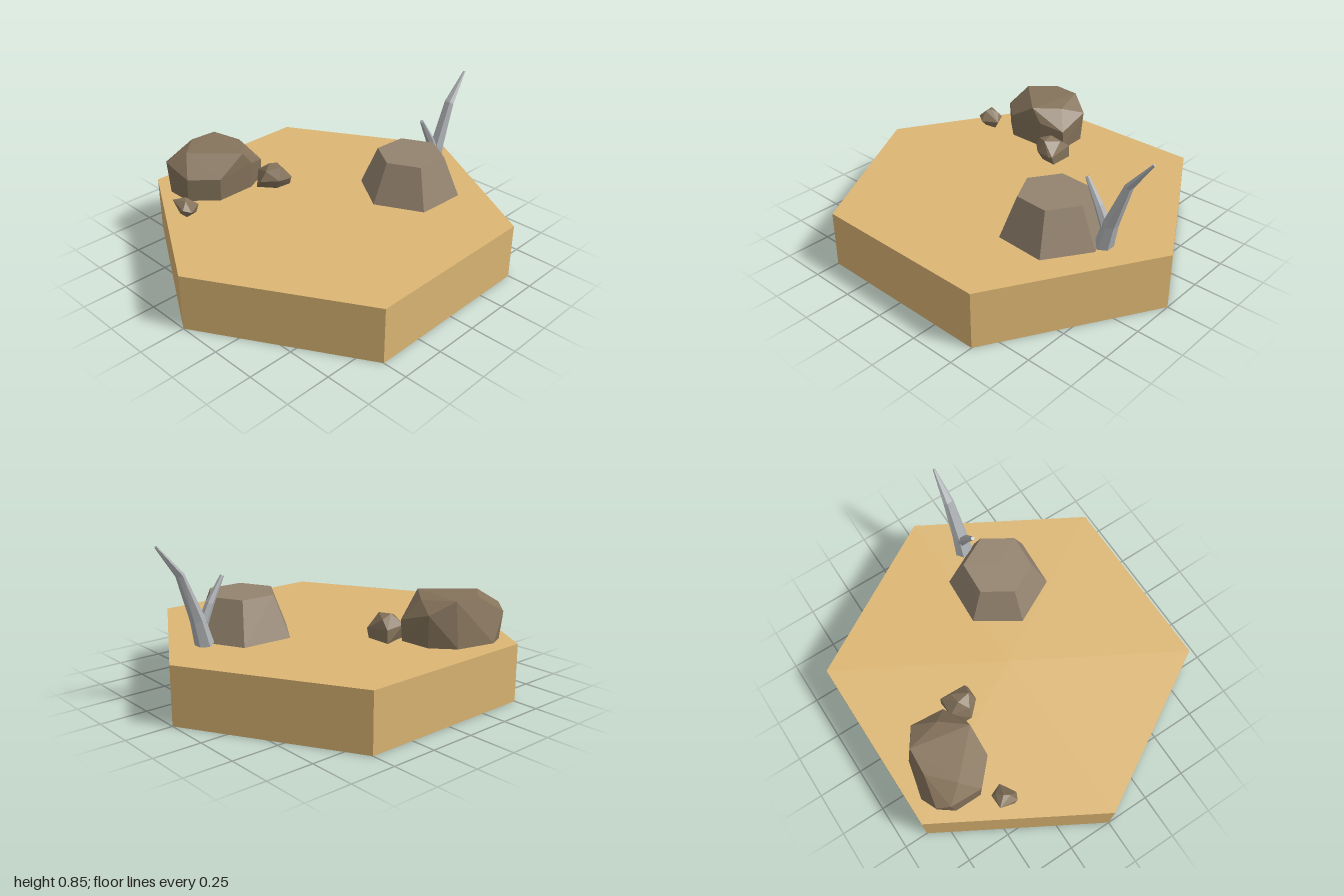
import * as THREE from 'three';
import { ConvexGeometry } from 'three/addons/geometries/ConvexGeometry.js';

const mat = (color) => new THREE.MeshStandardMaterial({ color, flatShading: true });
const sand = mat(0xdcb673);
const stone = mat(0x94836f);
const darkStone = mat(0x85735b);
const wood = mat(0xb0b3b6);

const GROUND = 0.31;

function add(group, name, geometry, material) {
  const mesh = new THREE.Mesh(geometry, material);
  mesh.name = name;
  group.add(mesh);
  return mesh;
}

// Six-sided block with a vertex pointing along +x
function hexBlock(rTop, rBottom, height, turn = 0) {
  return new THREE.CylinderGeometry(rTop, rBottom, height, 6, 1, false, Math.PI / 2 - turn)
    .translate(0, height / 2, 0);
}

// Faceted boulder: the hull of a few corner points [x, y, z]
const boulder = (corners) => new ConvexGeometry(corners.map((c) => new THREE.Vector3(...c)));

// Tapering six-sided limb in an upright plane; stations are [x, y, half width, half depth]
function limb(stations, z) {
  const sides = 6, pos = [], idx = [];
  const n = stations.length;
  stations.forEach(([x, y, w, d], i) => {
    const a = stations[Math.max(i - 1, 0)], b = stations[Math.min(i + 1, n - 1)];
    const t = new THREE.Vector2(b[0] - a[0], b[1] - a[1]).normalize();
    for (let j = 0; j < sides; j++) {
      const ang = ((j + 0.5) / sides) * Math.PI * 2;
      const c = Math.cos(ang) * w / 0.87;
      pos.push(x - t.y * c, y + t.x * c, z + Math.sin(ang) * d);
    }
  });
  for (let i = 0; i < n - 1; i++) {
    for (let j = 0; j < sides; j++) {
      const k = (j + 1) % sides, p = i * sides, q = p + sides;
      idx.push(p + j, p + k, q + k, p + j, q + k, q + j);
    }
  }
  // End caps
  const e = (n - 1) * sides;
  for (let j = 1; j < sides - 1; j++) idx.push(e, e + j, e + j + 1, 0, j + 1, j);
  const g = new THREE.BufferGeometry();
  g.setAttribute('position', new THREE.Float32BufferAttribute(pos, 3));
  g.setIndex(idx);
  g.computeVertexNormals();
  return g;
}

export function createModel() {
  const model = new THREE.Group();
  model.name = 'desertTile';

  // Hexagonal ground
  add(model, 'ground', hexBlock(1, 1, GROUND), sand);

  // Flat-topped mound
  add(model, 'mound', hexBlock(0.186, 0.278, 0.22, 0.055), stone)
    .position.set(0.433, GROUND, 0.212);

  // Boulders
  const rocks = new THREE.Group();
  rocks.name = 'rocks';
  model.add(rocks);
  add(rocks, 'largeRock', boulder([
    // foot
    [-0.54, 0.32, -0.68], [-0.48, 0.32, -0.76], [-0.39, 0.32, -0.8], [-0.18, 0.32, -0.75],
    [-0.08, 0.32, -0.64], [-0.07, 0.32, -0.47], [-0.19, 0.32, -0.41], [-0.41, 0.32, -0.41],
    [-0.54, 0.32, -0.53],
    // middle
    [-0.54, 0.49, -0.7], [-0.5, 0.46, -0.765], [-0.07, 0.49, -0.65], [-0.07, 0.43, -0.46],
    [-0.19, 0.47, -0.4], [-0.41, 0.45, -0.4], [-0.54, 0.45, -0.52],
    // crown
    [-0.47, 0.555, -0.61], [-0.34, 0.555, -0.73], [-0.19, 0.555, -0.72],
    [-0.14, 0.535, -0.53], [-0.25, 0.55, -0.4],
  ]), darkStone);
  add(rocks, 'mediumRock', boulder([
    [-0.16, 0.31, -0.4], [0, 0.31, -0.44], [0, 0.31, -0.3], [-0.09, 0.31, -0.31],
    [-0.175, 0.365, -0.35], [-0.11, 0.39, -0.44], [0, 0.38, -0.435], [0, 0.36, -0.285],
    [-0.1, 0.37, -0.275], [-0.02, 0.36, -0.275], [-0.085, 0.44, -0.375],
    [-0.14, 0.42, -0.34], [-0.07, 0.435, -0.3], [-0.02, 0.42, -0.38],
  ]), darkStone);
  add(rocks, 'smallRock', boulder([
    [-0.64, 0.31, -0.41], [-0.57, 0.31, -0.42], [-0.6, 0.31, -0.47], [-0.64, 0.31, -0.47],
    [-0.68, 0.355, -0.41], [-0.665, 0.395, -0.49], [-0.58, 0.36, -0.49], [-0.55, 0.35, -0.42],
    [-0.635, 0.35, -0.37], [-0.675, 0.37, -0.39], [-0.62, 0.41, -0.44], [-0.64, 0.405, -0.41],
    [-0.59, 0.385, -0.47],
  ]), darkStone);

  // Forked dead branch
  const branch = new THREE.Group();
  branch.name = 'branch';
  model.add(branch);
  add(branch, 'trunk', limb([
    [0.705, GROUND, 0.042, 0.052], [0.74, 0.45, 0.033, 0.043],
    [0.83, 0.69, 0.018, 0.03], [0.953, 0.845, 0.006, 0.007],
  ], 0.155), wood);
  add(branch, 'fork', limb([
    [0.73, 0.38, 0.026, 0.03], [0.665, 0.52, 0.019, 0.025], [0.587, 0.65, 0.009, 0.011],
  ], 0.155), wood);

  return model;
}
